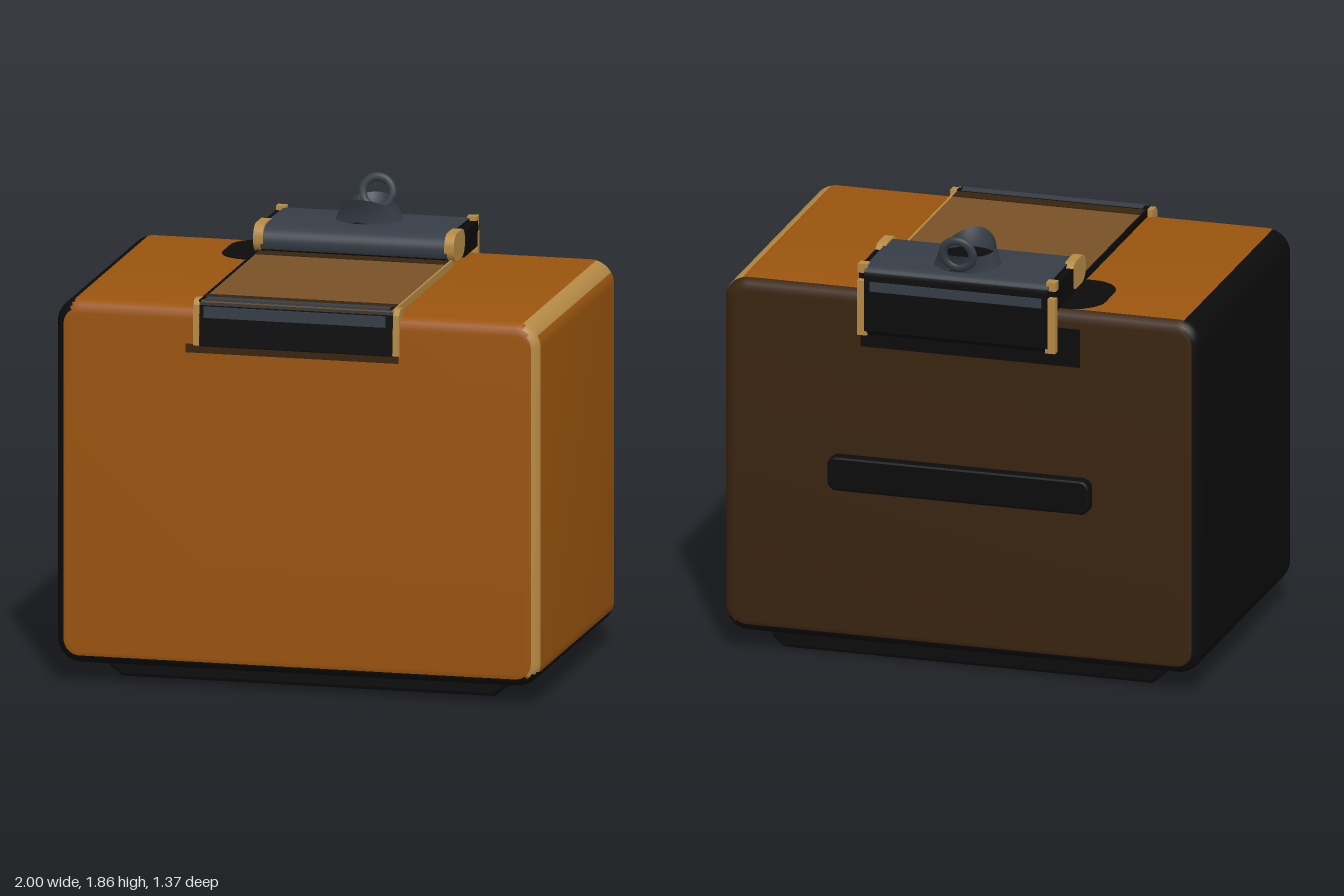
import * as THREE from 'three';
import { toCreasedNormals } from 'three/addons/utils/BufferGeometryUtils.js';

const mat = (name, color) => new THREE.MeshStandardMaterial({ name, color });

export function createModel() {
  const model = new THREE.Group();
  model.name = 'clippedBox';
  const orange = mat('orange', 0x9a540e);
  const tan = mat('tan', 0xb58a45);
  const backBrown = mat('backBrown', 0x3a2410);
  const black = mat('black', 0x0b0b0c);
  const steel = mat('steel', 0x363d46);
  const strapBrown = mat('strapBrown', 0x785026);
  const darkBrown = mat('darkBrown', 0x38240f);
  const steelTwoSided = steel;
  steelTwoSided.side = THREE.DoubleSide;

  function add(name, geo, material, x = 0, y = 0, z = 0) {
    const m = new THREE.Mesh(geo, material);
    m.name = name;
    m.position.set(x, y, z);
    model.add(m);
    return m;
  }
  // Box given by its limits on each axis
  function block(name, material, [x0, x1], [y0, y1], [z0, z1]) {
    return add(name, new THREE.BoxGeometry(x1 - x0, y1 - y0, z1 - z0), material,
      (x0 + x1) / 2, (y0 + y1) / 2, (z0 + z1) / 2);
  }
  function roundedRect(x0, x1, y0, y1, r) {
    const s = new THREE.Shape();
    s.absarc(x1 - r, y1 - r, r, 0, Math.PI / 2);
    s.absarc(x0 + r, y1 - r, r, Math.PI / 2, Math.PI);
    s.absarc(x0 + r, y0 + r, r, Math.PI, Math.PI * 1.5);
    s.absarc(x1 - r, y0 + r, r, Math.PI * 1.5, Math.PI * 2);
    s.closePath();
    return s;
  }
  // Extrude a (z, y) profile along x between two limits
  function alongX(shape, x0, x1) {
    const g = new THREE.ExtrudeGeometry(shape, { depth: x1 - x0, bevelEnabled: false, curveSegments: 8 });
    g.rotateY(-Math.PI / 2).translate(x1, 0, 0);
    return toCreasedNormals(g, 0.6);
  }
  // Choose a material index for each triangle from its face normal
  function paint(geo, pick) {
    const p = geo.attributes.position;
    const a = new THREE.Vector3(), b = new THREE.Vector3(), c = new THREE.Vector3();
    geo.clearGroups();
    for (let i = 0; i < p.count; i += 3) {
      a.fromBufferAttribute(p, i);
      b.fromBufferAttribute(p, i + 1).sub(a);
      c.fromBufferAttribute(p, i + 2).sub(a);
      const index = pick(b.cross(c).normalize());
      const last = geo.groups[geo.groups.length - 1];
      if (last && last.materialIndex === index) last.count += 3;
      else geo.addGroup(i, 3, index);
    }
    return geo;
  }

  // Main rounded body: dark underside, right side and back, worn tan edges
  const e = 0.05;
  let body = new THREE.ExtrudeGeometry(roundedRect(-1 + e, 1 - e, 0.08 + e, 1.575 - e, 0.05), {
    depth: 1.27 - 2 * e, bevelSize: e, bevelThickness: e, bevelSegments: 5, curveSegments: 6,
  });
  body.translate(0, 0, -0.61 + e);
  body = paint(toCreasedNormals(body, 0.6), n => {
    if (n.x < -0.25 || n.y < -0.35) return 3;
    if (n.z < -0.4) return 2;
    if (n.x > 0.3 && (n.z > 0.3 || n.y > 0.5)) return 1;
    return 0;
  });
  add('body', body, [orange, tan, backBrown, black]);

  // Two long feet with slanted ends, and a shallow base plate
  for (const [z0, z1] of [[0.39, 0.49], [-0.52, -0.39]]) {
    const s = new THREE.Shape([[-0.83, 0.1], [-0.82, 0.04], [-0.77, 0], [0.77, 0], [0.82, 0.04], [0.83, 0.1]]
      .map(q => new THREE.Vector2(...q)));
    const b = 0.015;
    const g = new THREE.ExtrudeGeometry(s, {
      depth: z1 - z0 - 2 * b, bevelSize: b, bevelOffset: -b, bevelThickness: b, bevelSegments: 2,
    });
    add('foot', g, black, 0, 0, z0 + b);
  }
  block('basePlate', black, [-0.7, 0.7], [0.06, 0.09], [-0.03, 0.15]);

  // Back handle bar
  const bar = new THREE.ExtrudeGeometry(roundedRect(-0.54, 0.54, 0.74, 0.865, 0.03), {
    depth: 0.04, bevelSize: 0.01, bevelThickness: 0.01, bevelSegments: 2,
  });
  add('backHandle', bar, black, 0, 0, -0.645);

  // Strap over the lid, with dark ends and edge lines
  block('strap', strapBrown, [-0.395, 0.395], [1.56, 1.6], [-0.3, 0.665]);
  block('strapFrontBand', darkBrown, [-0.395, 0.395], [1.598, 1.604], [0.55, 0.615]);
  block('strapBackBand', darkBrown, [-0.395, 0.395], [1.598, 1.604], [-0.3, -0.215]);
  block('strapRightEdge', black, [-0.403, -0.395], [1.56, 1.605], [-0.3, 0.665]);
  block('strapLeftEdge', tan, [0.395, 0.403], [1.56, 1.605], [-0.3, 0.665]);

  // Folded front plate with end caps
  const fold = new THREE.Shape([[0.61, 1.56], [0.61, 1.605], [0.655, 1.605], [0.675, 1.585], [0.682, 1.42], [0.655, 1.41],
    [0.655, 1.56]].map(q => new THREE.Vector2(...q)));
  add('frontFold', alongX(fold, -0.4, 0.4), black);
  block('frontFoldHighlight', steel, [-0.38, 0.37], [1.535, 1.58], [0.67, 0.684]);
  block('frontFoldTop', steel, [-0.38, 0.38], [1.6, 1.608], [0.615, 0.66]);
  for (const s of [-1, 1]) add('frontFoldCap', alongX(fold, s * 0.412 - 0.013, s * 0.412 + 0.013), tan);
  block('frontFoldBorder', darkBrown, [-0.46, 0.42], [1.385, 1.42], [0.655, 0.664]);

  // Clip: rounded top hooking down behind the body
  const clip = new THREE.Shape();
  clip.moveTo(-0.61, 1.56);
  clip.lineTo(-0.3, 1.59);
  clip.quadraticCurveTo(-0.26, 1.6, -0.26, 1.65);
  clip.quadraticCurveTo(-0.27, 1.7, -0.34, 1.705);
  clip.lineTo(-0.64, 1.7);
  clip.quadraticCurveTo(-0.68, 1.7, -0.682, 1.66);
  clip.lineTo(-0.682, 1.43);
  clip.lineTo(-0.66, 1.41);
  clip.lineTo(-0.61, 1.42);
  clip.closePath();
  const clipGeo = paint(alongX(clip, -0.385, 0.385), n => (n.y > 0.4 || n.z > 0.85 ? 0 : 1));
  add('clip', clipGeo, [steel, black]);
  block('clipBackHighlight', steel, [-0.36, 0.36], [1.6, 1.64], [-0.687, -0.68]);
  for (const s of [-1, 1]) {
    const range = [s * 0.395 - 0.02, s * 0.395 + 0.02];
    add('clipRoll', alongX(roundedRect(-0.44, -0.26, 1.595, 1.71, 0.05), ...range), tan);
    block('clipCheek', black, range, [1.585, 1.69], [-0.65, -0.43]);
    block('clipLeg', tan, range, [1.41, 1.64], [-0.68, -0.645]);
    block('clipCorner', tan, range, [1.67, 1.708], [-0.67, -0.63]);
  }

  // Dark surround on the lid and back beside the clip
  const lidPatch = new THREE.ExtrudeGeometry(roundedRect(-0.56, -0.2, 0.22, 0.58, 0.12), { depth: 0.005, bevelEnabled: false });
  add('lidPatch', lidPatch.rotateX(-Math.PI / 2), black, 0, 1.573, 0);
  block('backPatch', black, [-0.5, 0.42], [1.34, 1.5], [-0.615, -0.608]);

  // Flared cup-shaped lever: base oval to a saddle-shaped rim
  const pos = [], idx = [], N = 32, M = 5;
  for (let j = 0; j <= M; j++) {
    const t = j / M;
    for (let i = 0; i <= N; i++) {
      const a = (i / N) * Math.PI * 2, c = Math.cos(a), s = Math.sin(a);
      const rim = s > 0 ? 1.765 + 0.045 * s * s : 1.765 + 0.015 * s * s;
      const rx = 0.14 - 0.03 * t, rz = 0.12 + 0.03 * t * t;
      pos.push(rx * c, 1.69 + (rim - 1.69) * t, -0.52 + rz * s);
      if (j < M && i < N) {
        const k = j * (N + 1) + i;
        idx.push(k, k + N + 1, k + 1, k + 1, k + N + 1, k + N + 2);
      }
    }
  }
  const cup = new THREE.BufferGeometry();
  cup.setAttribute('position', new THREE.Float32BufferAttribute(pos, 3));
  cup.setIndex(idx);
  cup.computeVertexNormals();
  add('leverCup', cup, steel);
  const floor = add('leverHollow', new THREE.CylinderGeometry(0.118, 0.125, 0.03, 28), black, 0, 1.72, -0.52);
  floor.scale.z = 0.98;

  // Upright ring at the back of the lever
  const ring = add('leverRing', new THREE.TorusGeometry(0.062, 0.018, 12, 32), steel, 0, 1.783, -0.652);
  ring.rotation.x = -0.25;
  ring.scale.z = 0.8;

  return model;
}
